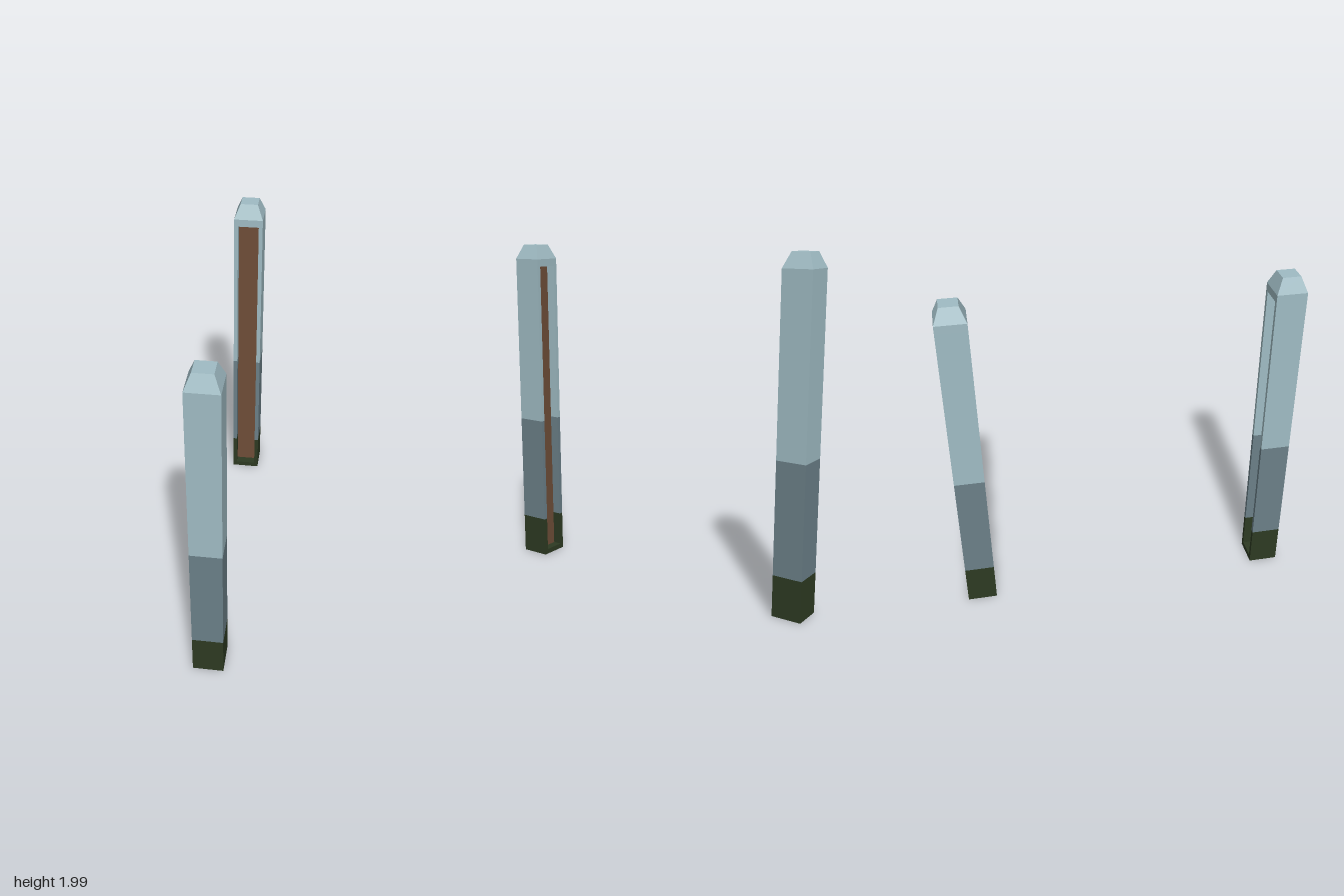
import * as THREE from 'three';

const HALF = 0.087;    // half width of a post
const GROOVE = 0.063;  // half width of the groove
const BACK = 0.032;    // depth position of the groove's back
const FLOOR = 0.03, CEILING = 1.855, SHOULDER = 1.9, TOP = 1.985;

const mat = (name, color) => {
  const m = new THREE.MeshStandardMaterial({ color });
  m.name = name;
  return m;
};

// Upright walls along a path of [x, z] points
function walls(path, y0, y1) {
  const pos = [];
  for (let i = 0; i < path.length - 1; i++) {
    const [ax, az] = path[i], [bx, bz] = path[i + 1];
    pos.push(ax, y0, az, bx, y0, bz, bx, y1, bz, ax, y0, az, bx, y1, bz, ax, y1, az);
  }
  const g = new THREE.BufferGeometry();
  g.setAttribute('position', new THREE.Float32BufferAttribute(pos, 3));
  g.computeVertexNormals();
  return g;
}

function block(x, y0, y1, z0, z1) {
  return new THREE.BoxGeometry(2 * x, y1 - y0, z1 - z0).translate(0, (y0 + y1) / 2, (z0 + z1) / 2);
}

function square(Type, h) {
  const p = new Type();
  p.moveTo(-h, -h).lineTo(h, -h).lineTo(h, h).lineTo(-h, h).closePath();
  return p;
}

export function createModel() {
  const pale = mat('paleBlue', 0xa0bcc4);
  const slate = mat('slateGrey', 0x6b8088);
  const moss = mat('darkGreen', 0x2d3a22);
  const brown = mat('brown', 0x6f4e38);

  const ring = [[-HALF, HALF], [HALF, HALF], [HALF, -HALF], [-HALF, -HALF], [-HALF, HALF]];
  const channel = [[GROOVE, BACK], [GROOVE, HALF], [HALF, HALF], [HALF, -HALF],
    [-HALF, -HALF], [-HALF, HALF], [-GROOVE, HALF], [-GROOVE, BACK]];
  const pocket = [[-GROOVE, GROOVE], [-GROOVE, -GROOVE], [GROOVE, -GROOVE], [GROOVE, GROOVE], [-GROOVE, GROOVE]];

  // Underside with a shallow square pocket
  const underShape = square(THREE.Shape, HALF);
  underShape.holes.push(square(THREE.Path, GROOVE));
  const underside = new THREE.ShapeGeometry(underShape).rotateX(Math.PI / 2);

  // Tapered four-sided cap
  const r = Math.SQRT2;
  const cap = new THREE.CylinderGeometry(0.052 * r, HALF * r, TOP - SHOULDER, 4)
    .rotateY(Math.PI / 4).translate(0, (TOP + SHOULDER) / 2, 0).toNonIndexed();
  cap.computeVertexNormals();

  const parts = [
    ['underside', underside, moss],
    ['undersidePocket', walls(pocket, 0, 0.012), moss],
    ['foot', walls(ring, 0, FLOOR), moss],
    ['grooveFloor', block(GROOVE, 0.012, FLOOR, BACK, HALF - 0.001), moss],
    ['lowerBand', walls(channel, FLOOR, 0.24), moss],
    ['middleBand', walls(channel, 0.24, 0.89), slate],
    ['upperBand', walls(channel, 0.89, CEILING), pale],
    ['grooveCeiling', block(GROOVE, CEILING, CEILING + 0.02, BACK, HALF - 0.001), pale],
    ['collar', walls(ring, CEILING, SHOULDER), pale],
    ['cap', cap, pale],
    ['core', block(GROOVE, 0.012, CEILING, -GROOVE, BACK), brown],
  ];

  // Two posts with their grooves facing each other
  const model = new THREE.Group();
  model.name = 'gatePosts';
  for (const side of [-1, 1]) {
    const post = new THREE.Group();
    post.name = side < 0 ? 'backPost' : 'frontPost';
    for (const [name, geometry, material] of parts) {
      const mesh = new THREE.Mesh(geometry, material);
      mesh.name = name;
      post.add(mesh);
    }
    post.position.z = side * (1 - HALF);
    post.rotation.y = side < 0 ? 0 : Math.PI;
    model.add(post);
  }
  return model;
}
